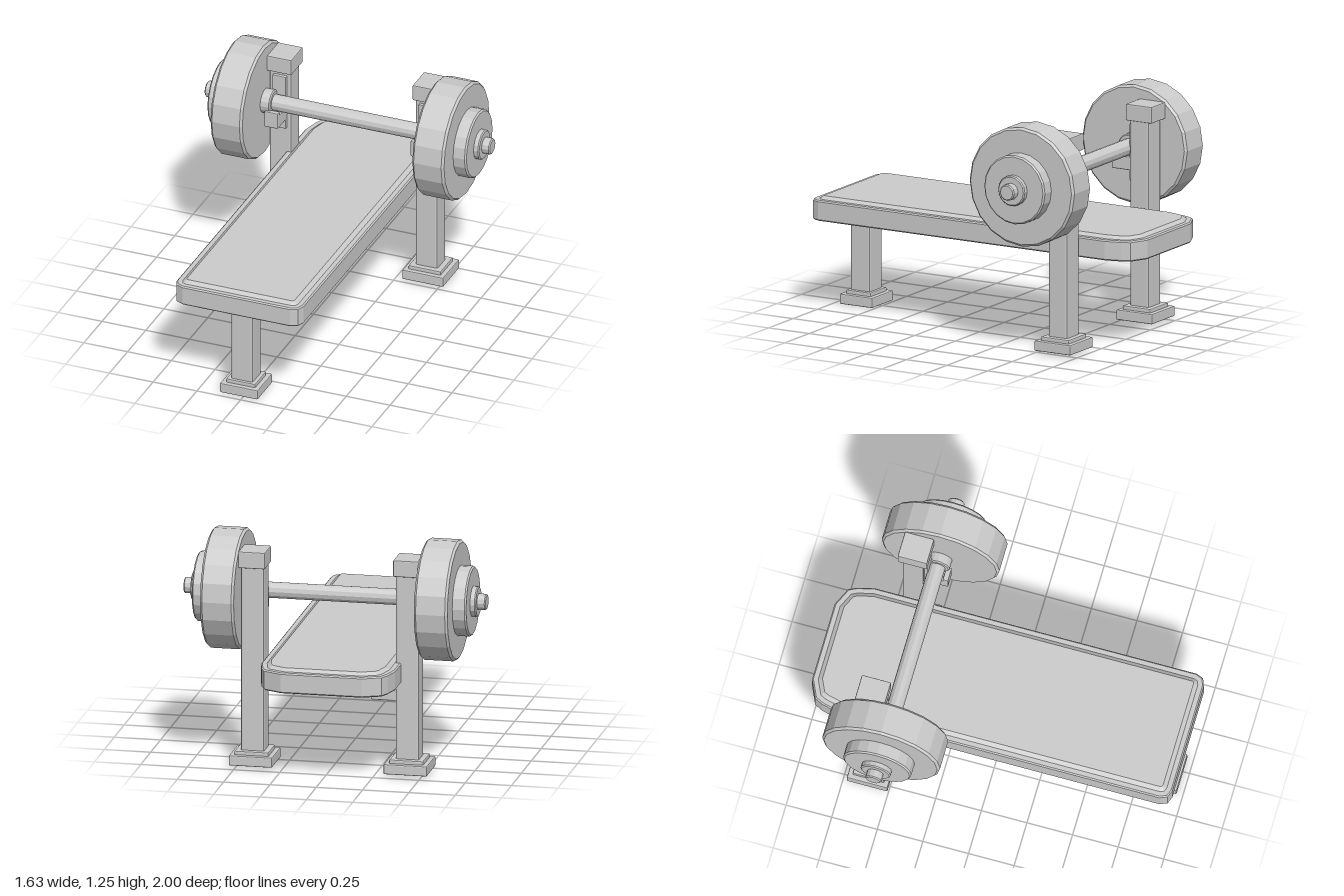
import * as THREE from 'three';
import { RoundedBoxGeometry } from 'three/addons/geometries/RoundedBoxGeometry.js';

const material = new THREE.MeshStandardMaterial({ color: 0xcccccc, flatShading: true });

function add(parent, name, geometry) {
  const mesh = new THREE.Mesh(geometry, material);
  mesh.name = name;
  parent.add(mesh);
  return mesh;
}

// Box given by its extents on each axis, with a small chamfer
function box(parent, name, [x0, x1], [y0, y1], [z0, z1], chamfer = 0.006) {
  const g = new RoundedBoxGeometry(x1 - x0, y1 - y0, z1 - z0, 1, chamfer);
  add(parent, name, g).position.set((x0 + x1) / 2, (y0 + y1) / 2, (z0 + z1) / 2);
}

// Extents around a centre
const around = (c, half) => [c - half, c + half];

// Solid of revolution about the x axis from [x, radius] pairs
function turned(parent, name, profile, sides) {
  const g = new THREE.LatheGeometry(profile.map(([x, r]) => new THREE.Vector2(r, x)), sides);
  g.rotateZ(-Math.PI / 2);
  return add(parent, name, g);
}

// Disc with chamfered rims
function disc(parent, name, x0, x1, r, bevel, sides) {
  return turned(parent, name, [
    [x0, 0], [x0, r - bevel], [x0 + bevel, r], [x1 - bevel, r], [x1, r - bevel], [x1, 0],
  ], sides);
}

// Bench outline: tapered head end, small rounded corners at the foot end
function benchOutline() {
  const cx = -0.026, w = 0.362;
  const half = [[0.22, 1], [0.318, 0.955], [0.34, 0.91], [w, 0.82],
    [w, -0.945], [w - 0.016, -0.984], [w - 0.055, -1]];
  const left = half.map(([x, y]) => new THREE.Vector2(cx - x, y));
  const right = half.map(([x, y]) => new THREE.Vector2(cx + x, y)).reverse();
  return new THREE.Shape([...left, ...right]);
}

// Horizontal slab of the bench outline, inset and bevelled
function slab(parent, name, y0, y1, inset, bevel, rise) {
  const g = new THREE.ExtrudeGeometry(benchOutline(), {
    depth: y1 - y0 - 2 * rise, bevelEnabled: true, bevelSegments: 1,
    bevelThickness: rise, bevelSize: bevel, bevelOffset: -bevel - inset,
  });
  g.rotateX(-Math.PI / 2);
  add(parent, name, g).position.y = y0 + rise;
}

// Square leg on a two-step foot
function leg(parent, x, z, base, top, halfX, halfZ, footX, footZ) {
  box(parent, 'post', around(x, halfX), [base + 0.05, top], around(z, halfZ), 0.01);
  box(parent, 'footStep', around(x, footX - 0.025), [base + 0.04, base + 0.075], around(z, footZ - 0.025));
  box(parent, 'foot', around(x, footX), [base, base + 0.055], around(z, footZ));
}

function group(parent, name) {
  const g = new THREE.Group();
  g.name = name;
  parent.add(g);
  return g;
}

export function createModel() {
  const model = new THREE.Group();
  model.name = 'weightBench';

  // Padded bench
  const bench = group(model, 'bench');
  slab(bench, 'benchBase', 0.503, 0.614, 0, 0.007, 0.007);
  slab(bench, 'benchPad', 0.58, 0.63, 0.032, 0.022, 0.016);

  // Single leg under the foot end
  leg(group(model, 'frontLeg'), -0.025, 0.865, 0, 0.515, 0.063, 0.06, 0.108, 0.101);

  // Rack uprights with caps, guide plates and hooks
  for (const [side, x] of [['right', -0.421], ['left', 0.414]]) {
    const rack = group(model, side + 'Upright');
    leg(rack, x, -0.616, 0.015, 1.12, 0.063, 0.058, 0.117, 0.111);
    box(rack, 'cap', around(x, 0.072), [1.09, 1.18], [-0.697, -0.537]);
    box(rack, 'guidePlate', around(x, 0.039), [0.757, 1.07], [-0.58, -0.54]);
    box(rack, 'hookArm', around(x, 0.039), [0.813, 0.885], [-0.57, -0.43]);
    box(rack, 'hookLip', around(x, 0.039), [0.82, 0.905], [-0.46, -0.43]);
  }

  // Loaded barbell
  const barbell = group(model, 'barbell');
  barbell.position.set(-0.001, 0.928, -0.505);
  disc(barbell, 'bar', -0.815, 0.815, 0.044, 0.006, 12);
  for (const [side, turn] of [['left', 0], ['right', Math.PI]]) {
    const end = group(barbell, side + 'Weights');
    end.rotation.y = turn;
    disc(end, 'innerCollar', 0.432, 0.5, 0.067, 0.006, 16);
    disc(end, 'largePlate', 0.486, 0.667, 0.323, 0.012, 20);
    disc(end, 'smallPlate', 0.65, 0.74, 0.187, 0.008, 20);
    disc(end, 'outerCollar', 0.73, 0.77, 0.082, 0.006, 16);
  }

  return model;
}
